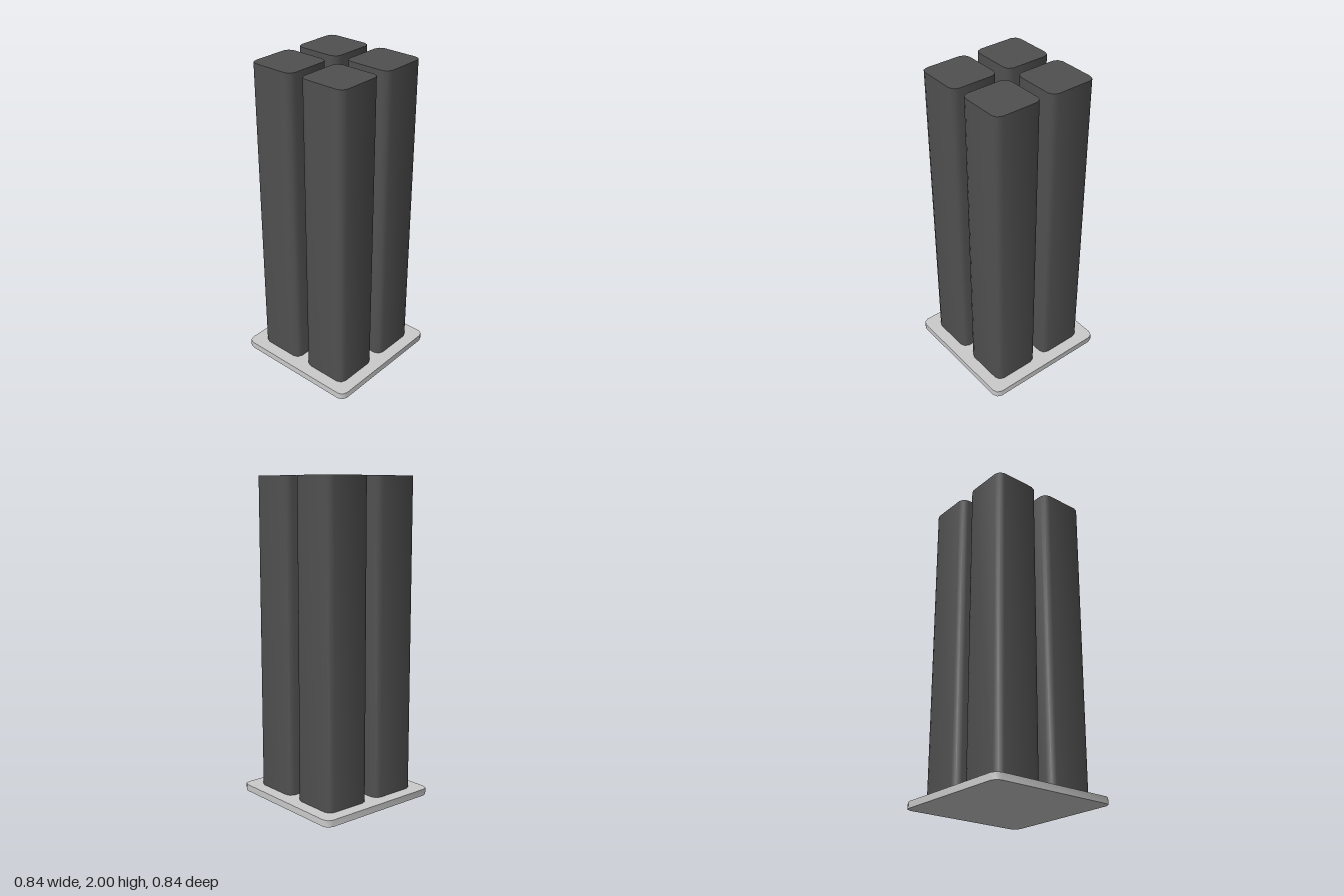
import * as THREE from 'three';
import { toCreasedNormals } from 'three/addons/utils/BufferGeometryUtils.js';

const BASE_HEIGHT = 0.042;
const CORNER = 0.042;

// Upright square prism with rounded corners (two facets each), standing on y = 0
function roundedPrism(width, height, radius) {
  const inner = width / 2 - radius;
  const shape = new THREE.Shape();
  [[1, 1], [-1, 1], [-1, -1], [1, -1]].forEach(([sx, sy], i) => {
    const start = (i * Math.PI) / 2;
    shape.absarc(sx * inner, sy * inner, radius, start, start + Math.PI / 2);
  });
  const geometry = new THREE.ExtrudeGeometry(shape, {
    depth: height,
    curveSegments: 1, // an arc gets two segments per division
    bevelEnabled: false,
  });
  geometry.rotateX(-Math.PI / 2);
  return toCreasedNormals(geometry, 1);
}

export function createModel() {
  const group = new THREE.Group();
  group.name = 'towerCluster';

  // Base plate
  const base = new THREE.Mesh(
    roundedPrism(0.842, BASE_HEIGHT, CORNER),
    new THREE.MeshStandardMaterial({ color: 0xcccccc })
  );
  base.name = 'basePlate';
  group.add(base);

  // Four dark towers in a two by two grid
  const towerGeometry = roundedPrism(0.307, 2 - BASE_HEIGHT, CORNER);
  const towerMaterial = new THREE.MeshStandardMaterial({ color: 0x505050 });
  for (const [sz, depthName] of [[1, 'front'], [-1, 'back']]) {
    for (const [sx, sideName] of [[1, 'Left'], [-1, 'Right']]) {
      const tower = new THREE.Mesh(towerGeometry, towerMaterial);
      tower.name = `${depthName}${sideName}Tower`;
      tower.position.set(sx * 0.1885, BASE_HEIGHT, sz * 0.1885);
      group.add(tower);
    }
  }

  return group;
}
